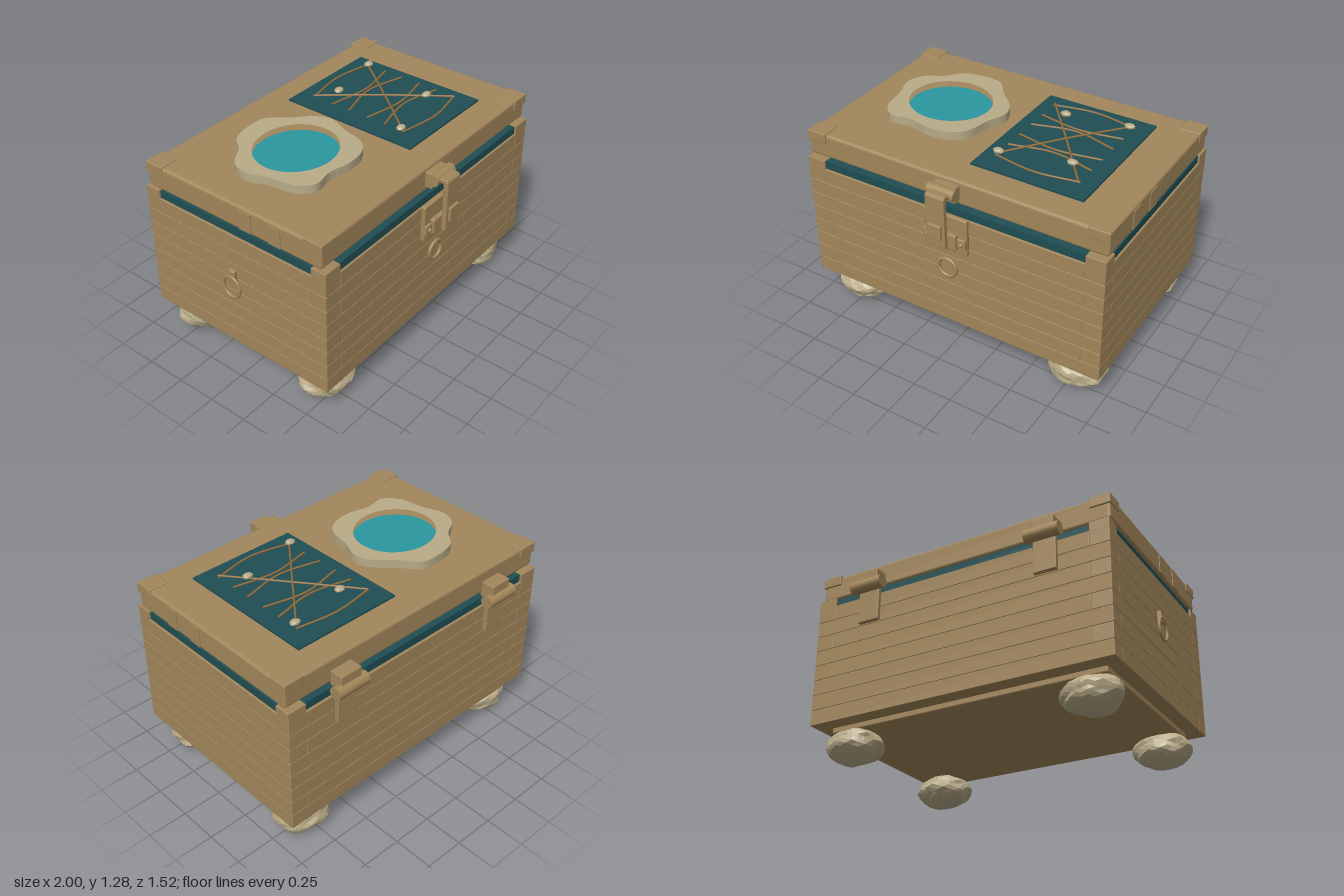
import * as THREE from 'three';
import { RoundedBoxGeometry } from 'three/addons/geometries/RoundedBoxGeometry.js';

const mat = (name, color, side = THREE.FrontSide) => {
  const m = new THREE.MeshStandardMaterial({ color, side });
  m.name = name;
  return m;
};

export function createModel() {
  const wood = mat('wood', 0xa3875b);
  const stone = mat('stone', 0xb8ab88);
  const cloth = mat('dark teal cloth', 0x1f4e53);
  const water = mat('bright teal', 0x2b97a0);
  const rope = mat('rope', 0x94703f);

  const root = new THREE.Group();
  root.name = 'chest';
  const group = (name) => {
    const g = new THREE.Group();
    g.name = name;
    root.add(g);
    return g;
  };
  const add = (parent, name, geo, material, x = 0, y = 0, z = 0) => {
    const m = new THREE.Mesh(geo, material);
    m.name = name;
    m.position.set(x, y, z);
    parent.add(m);
    return m;
  };
  // Box given by its extents, lightly rounded when r > 0
  const box = (parent, name, x0, x1, y0, y1, z0, z1, material = wood, r = 0) => {
    const s = [x1 - x0, y1 - y0, z1 - z0];
    const geo = r ? new RoundedBoxGeometry(...s, 2, r) : new THREE.BoxGeometry(...s);
    return add(parent, name, geo, material, (x0 + x1) / 2, (y0 + y1) / 2, (z0 + z1) / 2);
  };
  // Cylinder lying along x
  const rod = (parent, name, x0, x1, y, z, r, material = wood) => {
    const geo = new THREE.CylinderGeometry(r, r, x1 - x0, 20).rotateZ(Math.PI / 2);
    return add(parent, name, geo, material, (x0 + x1) / 2, y, z);
  };
  // Lumpy stone made by pushing sphere points in and out
  const pebble = (parent, name, x, y, z, rx, ry, rz, seed, detail) => {
    const geo = new THREE.IcosahedronGeometry(1, detail);
    const p = geo.attributes.position;
    const v = new THREE.Vector3();
    for (let i = 0; i < p.count; i++) {
      v.fromBufferAttribute(p, i);
      const k = 0.96 + 0.05 * Math.sin(4.3 * v.x + seed) * Math.cos(3.7 * v.z - seed)
        + 0.04 * Math.sin(7.1 * v.y + 5.3 * v.z + seed * 2) + 0.02 * Math.sin(11 * v.x + 9 * v.y);
      v.multiplyScalar(k);
      p.setXYZ(i, v.x * rx, v.y * ry, v.z * rz);
    }
    geo.computeVertexNormals();
    return add(parent, name, geo, stone, x, y, z);
  };

  // Outer limits of the body and the width of the corner joints
  const X0 = -0.968, X1 = 1.0, Z0 = -0.68, Z1 = 0.63, J = 0.122, K = 0.1;

  // Stone feet
  const feet = group('feet');
  [[-0.757, 0.455], [0.79, 0.455], [-0.757, -0.505], [0.79, -0.505]].forEach(([x, z], i) =>
    pebble(feet, 'foot', x, 0.108, z, 0.185, 0.108, 0.155, 1.3 + i * 1.9, 4));

  // Body: solid core with planks finger-jointed at the corners
  const body = group('body');
  box(body, 'base', -0.88, 0.914, 0.188, 0.23, -0.58, 0.53, wood, 0.01);
  box(body, 'core', X0 + 0.02, X1 - 0.02, 0.225, 0.98, Z0 + 0.02, Z1 - 0.02);
  const rows = 8, h = (0.995 - 0.222) / rows;
  for (let i = 0; i < rows; i++) {
    const y0 = 0.222 + i * h, y1 = y0 + h, full = i % 2 === 0;
    const fx = full ? 0 : J, sz = full ? K : 0;
    box(body, 'frontPlank', X0 + fx, X1 - fx, y0, y1, Z1 - K, Z1, wood, 0.004);
    box(body, 'backPlank', X0 + fx, X1 - fx, y0, y1, Z0, Z0 + K, wood, 0.004);
    box(body, 'rightPlank', X0, X0 + J, y0, y1, Z0 + sz, Z1 - sz, wood, 0.004);
    box(body, 'leftPlank', X1 - J, X1, y0, y1, Z0 + sz, Z1 - sz, wood, 0.004);
  }
  for (const x of [X0, X1 - J]) for (const z of [Z0, Z1 - K])
    box(body, 'cornerPost', x, x + J, 0.99, 1.05, z, z + K, wood, 0.004);
  box(body, 'lining', X0 + 0.012, X1 - 0.012, 0.97, 1.044, Z0 + 0.015, Z1 - 0.012, cloth);

  // Lid with corner caps and side straps
  const lid = group('lid');
  box(lid, 'lidBoard', X0 + 0.003, X1 - 0.003, 1.06, 1.213, -0.65, 0.6, wood, 0.018);
  for (const x of [X0 + 0.008, X1 - 0.128]) for (const [z0, z1] of [[0.485, 0.609], [-0.659, -0.535]])
    box(lid, 'cornerCap', x - (x < 0 ? 0.01 : 0), x + 0.12 + (x > 0 ? 0.01 : 0), 1.155, 1.22, z0, z1, wood, 0.006);
  for (const [z0, z1] of [[0.245, 0.33], [0.04, 0.125]]) {
    box(lid, 'sideStrap', X1 - 0.006, X1 + 0.002, 1.072, 1.192, z0, z1);
    box(lid, 'sideStrap', X0 - 0.002, X0 + 0.006, 1.072, 1.192, z0, z1);
  }

  // Back hinges
  for (const x of [-0.583, 0.607]) {
    const hinge = group('hinge');
    rod(hinge, 'barrel', x - 0.108, x + 0.108, 1.045, -0.72, 0.04);
    box(hinge, 'upperLeaf', x - 0.072, x + 0.072, 1.04, 1.14, -0.732, -0.64, wood, 0.006);
    box(hinge, 'lowerLeaf', x - 0.072, x + 0.072, 0.81, 1.04, -0.705, -0.675, wood, 0.006);
  }

  // Front latch
  const latch = group('latch');
  rod(latch, 'pivot', -0.075, 0.1, 1.16, 0.66, 0.035);
  box(latch, 'pivotMount', -0.06, 0.085, 1.09, 1.19, 0.59, 0.645, wood, 0.006);
  box(latch, 'hasp', -0.05, 0.075, 0.838, 1.172, 0.712, 0.744, wood, 0.008);
  box(latch, 'haspTop', -0.05, 0.075, 1.148, 1.178, 0.65, 0.738, wood, 0.008);
  box(latch, 'haspStud', -0.028, 0.058, 0.9, 0.995, 0.73, 0.76, wood, 0.006);
  box(latch, 'lockPlate', -0.128, 0.16, 0.765, 1.005, 0.625, 0.655, wood, 0.01);
  box(latch, 'lockBlock', -0.07, 0.102, 0.8, 0.9, 0.64, 0.682, wood, 0.008);
  for (const x of [-0.098, 0.13]) {
    box(latch, 'boltPad', x - 0.028, x + 0.028, 0.815, 0.88, 0.645, 0.67, wood, 0.006);
    add(latch, 'bolt', new THREE.SphereGeometry(0.014, 12, 8), wood, x, 0.847, 0.67);
  }

  // Round keyhole ring on the front
  const frontRing = group('frontRing');
  add(frontRing, 'ring', new THREE.TorusGeometry(0.06, 0.011, 10, 32), wood, 0.016, 0.63, 0.643);
  add(frontRing, 'ringPlate', new THREE.CylinderGeometry(0.055, 0.055, 0.01, 32).rotateX(Math.PI / 2),
    wood, 0.016, 0.63, 0.632);

  // Pull ring on the right side
  const pull = group('sidePull');
  const pullRing = add(pull, 'pullRing', new THREE.TorusGeometry(0.06, 0.009, 10, 32).rotateY(Math.PI / 2),
    wood, -0.99, 0.65, -0.03);
  pullRing.scale.y = 1.15;
  box(pull, 'pullClip', -0.992, -0.96, 0.69, 0.765, -0.055, -0.005, wood, 0.008);

  // Wavy stone rim around a pool
  const pool = group('pool');
  const outline = [[0.01, -0.365], [0.13, -0.35], [0.225, -0.24], [0.33, -0.135], [0.364, -0.04],
    [0.316, 0.095], [0.278, 0.24], [0.2, 0.31], [0.064, 0.332], [-0.08, 0.305], [-0.21, 0.32],
    [-0.29, 0.24], [-0.32, 0.08], [-0.364, -0.065], [-0.32, -0.17], [-0.21, -0.24], [-0.13, -0.33]];
  const edge = new THREE.CatmullRomCurve3(outline.map(([x, z]) => new THREE.Vector3(x, -z, 0)), true);
  const rimShape = new THREE.Shape(edge.getPoints(96).slice(0, 96).map((p) => new THREE.Vector2(p.x, p.y)));
  rimShape.holes.push(new THREE.Path().absellipse(0, 0, 0.258, 0.238, 0, Math.PI * 2, true));
  const rim = new THREE.ExtrudeGeometry(rimShape, { depth: 0.056, bevelEnabled: false, curveSegments: 32 });
  add(pool, 'poolRim', rim.rotateX(-Math.PI / 2), stone, -0.4, 1.21, -0.045);
  const surface = add(pool, 'poolSurface', new THREE.CylinderGeometry(1, 1, 0.012, 48), water, -0.4, 1.22, -0.045);
  surface.scale.set(0.262, 1, 0.242);

  // Cloth with a web of cords and pebbles
  const mapPart = group('clothPanel');
  box(mapPart, 'cloth', 0.04, 0.75, 1.208, 1.224, -0.482, 0.422, cloth);
  const cord = (...pts) => {
    const curve = new THREE.CatmullRomCurve3(pts.map((p) => new THREE.Vector3(...p)));
    add(mapPart, 'cord', new THREE.TubeGeometry(curve, 20, 0.0065, 6), rope);
  };
  for (const [end, mid] of [[-0.36, -0.398], [-0.219, -0.172], [-0.092, -0.148],
    [0.04, 0.088], [0.168, 0.118], [0.3, 0.345]])
    cord([0.13, 1.242, end], [0.397, 1.246, mid], [0.664, 1.242, end]);
  cord([0.135, 1.25, -0.365], [0.397, 1.254, -0.03], [0.655, 1.25, 0.31]);
  cord([0.645, 1.254, -0.345], [0.397, 1.262, -0.03], [0.14, 1.254, 0.295]);
  [[0.262, -0.27], [0.645, -0.335], [0.548, 0.177], [0.14, 0.285]].forEach(([x, z], i) =>
    pebble(mapPart, 'pebble', x, 1.264, z, 0.034, 0.017, 0.026, i * 2.1, 2));

  return root;
}
